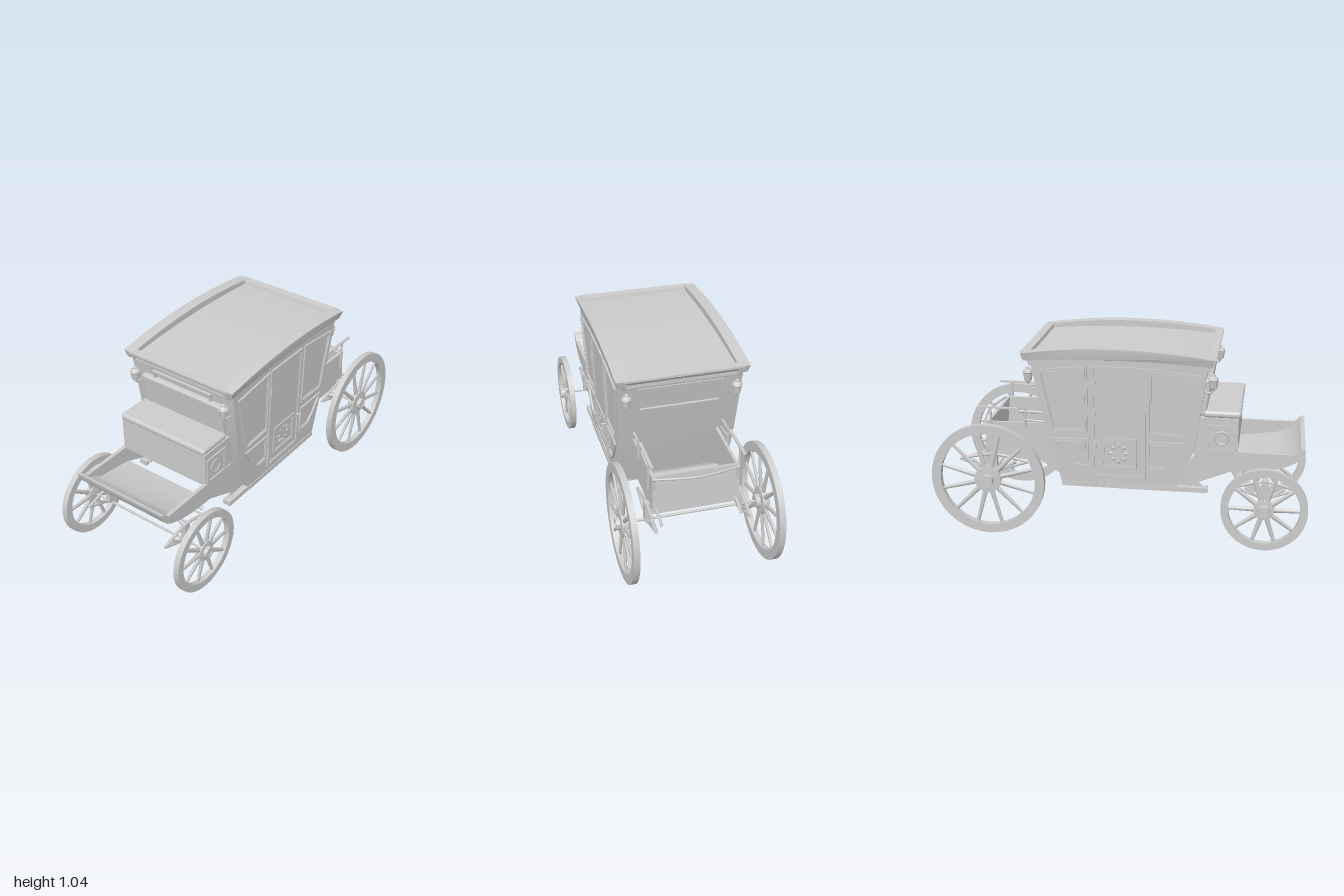
import * as THREE from 'three';
import { RoundedBoxGeometry } from 'three/addons/geometries/RoundedBoxGeometry.js';
import { toCreasedNormals } from 'three/addons/utils/BufferGeometryUtils.js';

const mat = new THREE.MeshStandardMaterial({ color: 0xcccccc, side: THREE.DoubleSide });
const V = (a) => new THREE.Vector3(...a);

export function createModel() {
  const root = new THREE.Group();
  const add = (name, geo, pos = [0, 0, 0], parent = root) => {
    const m = new THREE.Mesh(geo, mat);
    m.name = name;
    m.position.set(...pos);
    parent.add(m);
    return m;
  };
  const box = (name, w, h, d, pos) => add(name, new THREE.BoxGeometry(w, h, d), pos);
  const rod = (name, pts, r, parent) => {
    const curve = new THREE.CatmullRomCurve3(pts.map(V));
    return add(name, new THREE.TubeGeometry(curve, pts.length > 2 ? 20 : 1, r, 8), [0, 0, 0], parent);
  };
  const shapeOf = (pts) => new THREE.Shape(pts.map((p) => new THREE.Vector2(...p)));

  // A [z, y] outline extruded across x, centred on x = 0
  const sideExtrude = (shape, width) => {
    const g = new THREE.ExtrudeGeometry(shape, { depth: width, bevelEnabled: false });
    return g.translate(0, 0, -width / 2).rotateY(-Math.PI / 2);
  };
  const bend = (g, rule) => {
    const p = g.attributes.position, v = new THREE.Vector3();
    for (let i = 0; i < p.count; i++) {
      rule(v.fromBufferAttribute(p, i));
      p.setXYZ(i, v.x, v.y, v.z);
    }
    g.computeVertexNormals();
    return toCreasedNormals(g, 0.5);
  };
  const inset = (pts, d) => {
    const c = pts.reduce((s, p) => [s[0] + p[0] / pts.length, s[1] + p[1] / pts.length], [0, 0]);
    const hx = Math.max(...pts.map((p) => Math.abs(p[0] - c[0])));
    const hy = Math.max(...pts.map((p) => Math.abs(p[1] - c[1])));
    return pts.map((p) => [c[0] + (p[0] - c[0]) * (1 - d / hx), c[1] + (p[1] - c[1]) * (1 - d / hy)]);
  };
  const ringShape = (pts, d) => {
    const s = shapeOf(pts);
    s.holes.push(new THREE.Path(inset(pts, d).map((p) => new THREE.Vector2(...p))));
    return s;
  };
  const wallX = (y) => 0.306 + 0.018 * (y - 0.3) / 0.65;

  // Cab body, widening towards the roof
  const cab = sideExtrude(shapeOf([[0.31, 0.29], [0.4, 0.5], [0.465, 0.97], [0, 1.0], [-0.455, 0.97],
    [-0.38, 0.59], [-0.3, 0.29]]), 2);
  add('cabBody', bend(cab, (v) => { v.x *= wallX(v.y); }));
  box('cabSill', 0.62, 0.025, 0.61, [0, 0.288, 0.005]);

  // Arched roof: a deck between two raised, flared side rails
  const arch = (z, end, mid) => mid - (mid - end) * (z / 0.5) ** 2;
  const archShape = (half, lo, hi) => {
    const pts = [];
    for (let i = 0; i <= 12; i++) { const z = -half + half * i / 6; pts.push([z, arch(z, ...lo)]); }
    for (let i = 12; i >= 0; i--) { const z = -half + half * i / 6; pts.push([z, arch(z, ...hi)]); }
    return shapeOf(pts);
  };
  add('roofDeck', toCreasedNormals(sideExtrude(archShape(0.48, [0.95, 0.98], [0.985, 1.01]), 0.58), 0.5));
  for (const s of [-1, 1]) {
    const g = sideExtrude(archShape(0.5, [0.965, 0.985], [1.006, 1.045]), 0.06);
    add('roofRail', bend(g, (v) => {
      const upper = v.y > arch(v.z, 0.988, 1.018);
      if (v.x * s > 0 && !upper) v.x -= s * 0.012;
      if (!upper) v.z *= 0.975;
      v.x += s * 0.314;
    }));
    // Flared cornices at both ends of the roof
    add('endCornice', toCreasedNormals(sideExtrude(shapeOf([[0.44 * s, 0.935], [0.464 * s, 0.935],
      [0.472 * s, 0.96], [0.486 * s, 0.982], [0.505 * s, 0.997], [0.505 * s, 1.008], [0.46 * s, 1.008]]), 0.62), 0.6));
  }

  // Framed windows, doors and lower panels on both cab sides
  const frames = {
    frontWindow: [[0.43, 0.92], [0.16, 0.95], [0.16, 0.585], [0.35, 0.575]],
    rearWindow: [[-0.415, 0.92], [-0.155, 0.95], [-0.155, 0.585], [-0.345, 0.58]],
    door: [[0.15, 0.95], [-0.135, 0.95], [-0.135, 0.335], [0.15, 0.335]],
    doorLowerPanel: [[0.1, 0.56], [-0.09, 0.56], [-0.09, 0.39], [0.1, 0.39]],
    frontLowerPanel: [[0.355, 0.55], [0.16, 0.55], [0.16, 0.39], [0.24, 0.39], [0.305, 0.46]],
    rearLowerPanel: [[-0.35, 0.55], [-0.155, 0.55], [-0.155, 0.39], [-0.235, 0.39], [-0.295, 0.46]],
  };
  for (const s of [-1, 1]) {
    const onWall = (v) => { v.x += s * wallX(v.y); };
    for (const [name, pts] of Object.entries(frames)) {
      add(name + 'Frame', bend(sideExtrude(ringShape(pts, 0.014), 0.018), onWall));
      add(name + 'Bead', bend(sideExtrude(ringShape(inset(pts, 0.018), 0.005), 0.01), onWall));
    }
    add('doorSlab', bend(sideExtrude(shapeOf(frames.door), 0.006), onWall));
    for (let i = 0; i < 8; i++) {
      const a = i * Math.PI / 4;
      const leaf = add('doorOrnament', new THREE.SphereGeometry(0.014, 8, 6),
        [s * 0.314, 0.475 + 0.045 * Math.sin(a), 0.005 + 0.04 * Math.cos(a)]);
      leaf.scale.set(0.4, 0.6, 1);
      leaf.rotation.x = -a;
    }
    rod('doorHandle', [[s * 0.31, 0.537, -0.115], [s * 0.342, 0.537, -0.115]], 0.006);
    for (const y of [0.42, 0.82]) box('doorHinge', 0.012, 0.05, 0.012, [s * (wallX(y) + 0.008), y, 0.145]);
  }

  // End windows, tilted with the walls
  const endFrame = (name, w, h, y, z, tilt) => {
    const pts = [[-w, -h], [w, -h], [w, h], [-w, h]];
    const g = new THREE.ExtrudeGeometry(ringShape(pts, 0.014), { depth: 0.02, bevelEnabled: false });
    add(name, g.translate(0, 0, -0.01), [0, y, z]).rotation.x = tilt;
  };
  endFrame('frontWindowFrame', 0.185, 0.08, 0.845, 0.449, 0.14);
  endFrame('backWindowFrame', 0.22, 0.075, 0.855, -0.433, -0.19);

  // Driver's seat
  box('seatBox', 0.54, 0.19, 0.22, [0, 0.585, 0.515]);
  add('seatCushion', new RoundedBoxGeometry(0.54, 0.036, 0.195, 4, 0.016), [0, 0.698, 0.54]);
  add('seatBackrest', new RoundedBoxGeometry(0.51, 0.2, 0.04, 4, 0.012), [0, 0.783, 0.447]).rotation.x = 0.14;
  for (const s of [-1, 1]) {
    const pts = [[0.615, 0.645], [0.465, 0.645], [0.465, 0.5], [0.615, 0.5]];
    add('seatSideFrame', sideExtrude(ringShape(pts, 0.012), 0.014), [s * 0.27, 0, 0]);
    const wreath = add('seatSideOrnament', new THREE.TorusGeometry(0.035, 0.006, 6, 14), [s * 0.269, 0.572, 0.54]);
    wreath.rotation.y = Math.PI / 2;
    // Side boards that carry the footboard
    add('footwellSide', sideExtrude(shapeOf([[0.972, 0.53], [0.95, 0.525], [0.92, 0.5], [0.61, 0.5], [0.42, 0.51],
      [0.31, 0.3], [0.46, 0.285], [0.42, 0.32], [0.6, 0.395], [0.84, 0.42], [0.93, 0.46]]), 0.02), [s * 0.265, 0, 0]);
    box('sillTongue', 0.045, 0.025, 0.17, [s * 0.285, 0.288, 0.39]);
  }
  add('footboard', toCreasedNormals(sideExtrude(shapeOf([[0.972, 0.535], [0.95, 0.53], [0.925, 0.49],
    [0.83, 0.437], [0.62, 0.407], [0.62, 0.393], [0.74, 0.402], [0.84, 0.42], [0.9, 0.443], [0.94, 0.47],
    [0.962, 0.5]]), 0.55), 0.7));

  // Open luggage boot at the back
  for (const s of [-1, 1]) {
    add('bootSide', sideExtrude(shapeOf([[-0.34, 0.59], [-0.74, 0.585], [-0.72, 0.38], [-0.44, 0.38],
      [-0.3, 0.29], [-0.28, 0.4]]), 0.016), [s * 0.217, 0, 0]);
    // Rear grab rails
    rod('grabPost', [[s * 0.235, 0.57, -0.51], [s * 0.235, 0.67, -0.51]], 0.008);
    rod('grabPost', [[s * 0.235, 0.5, -0.7], [s * 0.235, 0.67, -0.7]], 0.007);
    box('grabRail', 0.016, 0.008, 0.23, [s * 0.235, 0.67, -0.655]);
    rod('grabBrace', [[s * 0.235, 0.6, -0.4], [s * 0.235, 0.61, -0.51]], 0.006);
    rod('grabBrace', [[s * 0.235, 0.655, -0.42], [s * 0.235, 0.655, -0.54]], 0.008);
  }
  add('bootFloor', sideExtrude(shapeOf([[-0.29, 0.29], [-0.44, 0.38], [-0.725, 0.38], [-0.725, 0.395],
    [-0.43, 0.395], [-0.29, 0.31]]), 0.43));
  box('bootBack', 0.45, 0.21, 0.016, [0, 0.482, -0.728]).rotation.x = 0.095;
  rod('bootRearRail', [[-0.22, 0.58, -0.74], [0, 0.58, -0.77], [0.22, 0.58, -0.74]], 0.006);

  // Corner lamps
  const lampProfile = [[0, -0.048], [0.008, -0.044], [0.01, -0.034], [0.02, -0.028], [0.026, 0.012],
    [0.029, 0.016], [0.024, 0.026], [0.012, 0.034], [0.01, 0.043], [0, 0.048]];
  for (const s of [-1, 1]) for (const z of [0.49, -0.475]) {
    const lamp = new THREE.Group(), d = -Math.sign(z);
    lamp.name = 'lamp';
    lamp.position.set(s * 0.285, 0.876, z);
    const g = new THREE.LatheGeometry(lampProfile.map((p) => new THREE.Vector2(...p)), 8);
    add('lampBody', toCreasedNormals(g, 0.4), [0, 0, 0], lamp);
    rod('lampBracket', [[0, -0.04, 0], [0, -0.055, d * 0.015], [0, -0.05, d * 0.05]], 0.005, lamp);
    rod('lampBracket', [[0, 0.0, d * 0.02], [0, 0.0, d * 0.06]], 0.006, lamp);
    root.add(lamp);
  }

  // Spoked wheels
  const lathe = (pts) => toCreasedNormals(
    new THREE.LatheGeometry(pts.map((p) => new THREE.Vector2(...p)), 40).rotateZ(-Math.PI / 2), 0.5);
  const wheel = (name, x, y, z, R, rim, spokes, inner) => {
    const w = new THREE.Group(), s = Math.sign(x), r = R - rim;
    w.name = name;
    w.position.set(x, y, z);
    add('rim', lathe([[r, -0.016], [R, -0.016], [R, 0.016], [r, 0.016], [r, -0.016]]), [0, 0, 0], w);
    const k = R * 0.235;
    const hub = lathe([[0, -inner], [0.035, -inner], [0.035, -0.016], [k, -0.014], [k, 0.014],
      [0.032, 0.016], [0.03, 0.036], [0.02, 0.036], [0.02, 0.03], [0, 0.03]]);
    const h = add('hub', hub, [0, 0, 0], w);
    h.rotation.y = s < 0 ? Math.PI : 0;
    for (let i = 0; i < spokes; i++) {
      const a = (i + 0.5) * 2 * Math.PI / spokes, len = r - k * 0.8, mid = k * 0.8 + len / 2;
      const spoke = add('spoke', new THREE.CylinderGeometry(0.009, 0.014, len + 0.01, 8),
        [0, mid * Math.cos(a), mid * Math.sin(a)], w);
      spoke.rotation.x = a;
      spoke.scale.x = 0.7;
    }
    root.add(w);
  };
  for (const s of [-1, 1]) {
    wheel('frontWheel', s * 0.374, 0.23, 0.775, 0.225, 0.04, 10, 0.018);
    wheel('rearWheel', s * 0.368, 0.312, -0.69, 0.308, 0.05, 12, 0.038);

    // Elliptic leaf springs
    for (const [label, x, z, y, half] of [['front', 0.255, 0.775, 0.29, 0.16], ['rear', 0.242, -0.69, 0.36, 0.19]]) {
      for (const [d, f] of [[-0.04, 1], [0.045, 1], [-0.05, 0.65]]) {
        rod(label + 'LeafSpring', [[s * x, y + 0.01, z - half * f], [s * x, y + d, z],
          [s * x, y + 0.01, z + half * f]], 0.008);
      }
      box(label + 'SpringClamp', 0.026, 0.11, 0.04, [s * x, y, z]);
    }
    rod('frontStay', [[s * 0.25, 0.335, 0.775], [s * 0.1, 0.385, 0.76]], 0.012);
    rod('frontStay', [[s * 0.25, 0.33, 0.62], [s * 0.1, 0.39, 0.68]], 0.01);
    rod('rearSpringHanger', [[s * 0.205, 0.39, -0.6], [s * 0.205, 0.4, -0.75], [s * 0.205, 0.37, -0.84]], 0.008);
  }

  // Axles and cross bar
  rod('frontAxle', [[-0.38, 0.23, 0.775], [0.38, 0.23, 0.775]], 0.006);
  rod('rearAxle', [[-0.37, 0.312, -0.69], [0.37, 0.312, -0.69]], 0.007);
  rod('frontCrossBar', [[-0.27, 0.287, 0.62], [0.27, 0.287, 0.62]], 0.005);
  add('turntable', new THREE.TorusGeometry(0.1, 0.008, 6, 28).rotateX(Math.PI / 2), [0, 0.385, 0.74]);
  return root;
}
